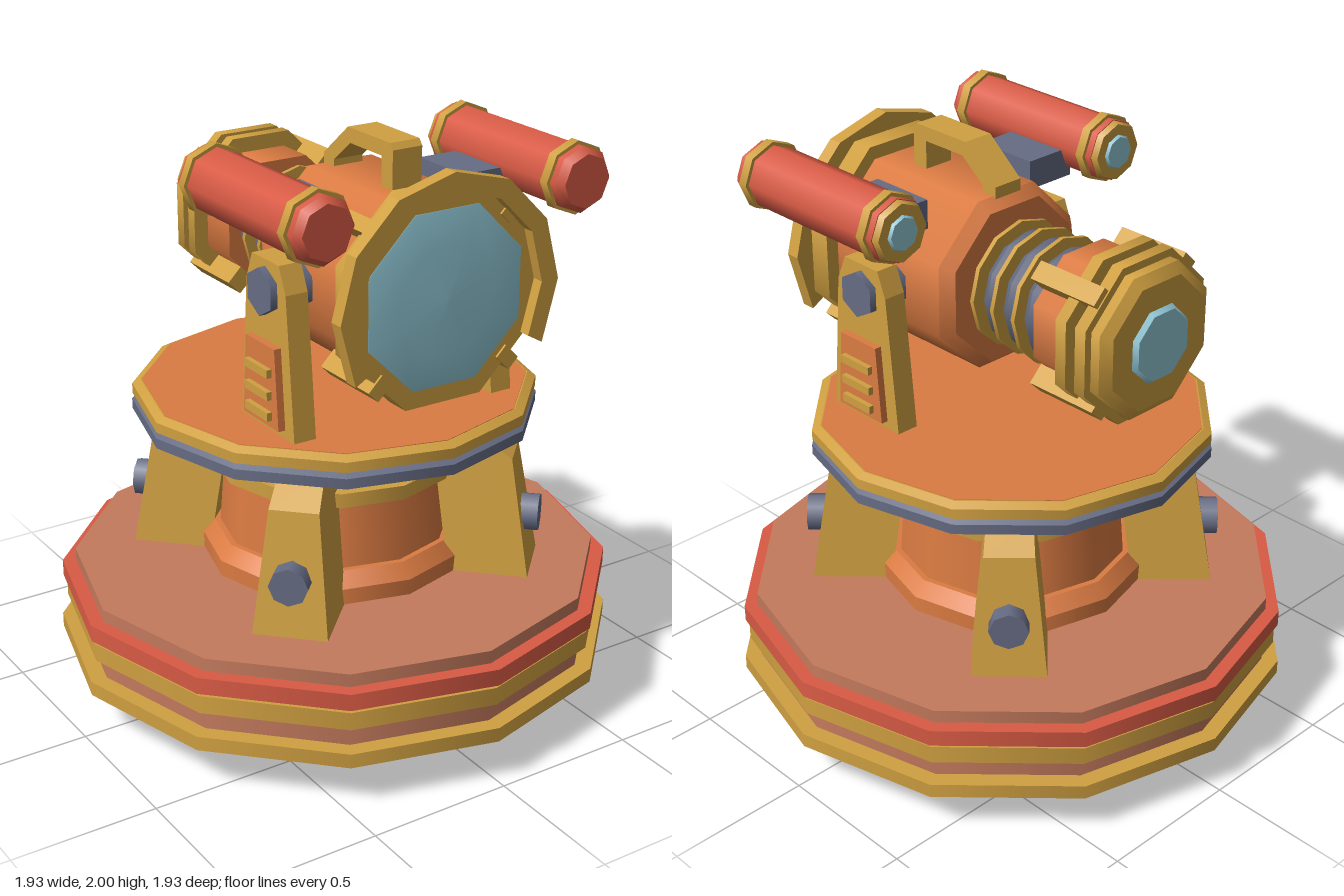
import * as THREE from 'three';

const colour = (name, hex) => {
  const m = new THREE.MeshStandardMaterial({ color: hex });
  m.name = name;
  return m;
};

export function createModel() {
  const brown = colour('clay brown', 0xc47a5d);
  const orange = colour('copper orange', 0xdb7b42);
  const gold = colour('brass gold', 0xd0a041);
  const red = colour('signal red', 0xd95b45);
  const grey = colour('slate grey', 0x666c84);
  const blue = colour('lens blue', 0x93cbd9);
  lensSide(blue);

  const root = new THREE.Group();
  root.name = 'telescopeTurret';
  const group = (name, parent = root) => {
    const g = new THREE.Group();
    g.name = name;
    parent.add(g);
    return g;
  };
  const add = (parent, name, geo, mat, x = 0, y = 0, z = 0) => {
    const m = new THREE.Mesh(geo, mat);
    m.name = name;
    m.position.set(x, y, z);
    parent.add(m);
    return m;
  };
  // Upright twelve-sided drum from y0 to y1
  const drum = (parent, name, mat, y0, y1, r0, r1 = r0) =>
    add(parent, name, new THREE.CylinderGeometry(r1, r0, y1 - y0, 12), mat, 0, (y0 + y1) / 2, 0);
  // Drum along z; flat = true puts a flat side on top of an octagon
  const tube = (parent, name, mat, z0, z1, r0, r1 = r0, flat = true, sides = 8) => {
    const g = new THREE.CylinderGeometry(r1, r0, z1 - z0, sides).rotateX(Math.PI / 2);
    if (flat) g.rotateZ(Math.PI / sides);
    return add(parent, name, g, mat, 0, 0, (z0 + z1) / 2);
  };
  const box = (parent, name, mat, w, h, d, x, y, z) =>
    add(parent, name, new THREE.BoxGeometry(w, h, d), mat, x, y, z);
  // Side profile given as [z, y] points, extruded across x from x0 to x0 + w
  const sidePlate = (pts, w, x0) => {
    const shape = new THREE.Shape(pts.map(([z, y]) => new THREE.Vector2(-z, y)));
    return new THREE.ExtrudeGeometry(shape, { depth: w, bevelEnabled: false })
      .rotateY(Math.PI / 2).translate(x0, 0, 0);
  };

  // Stepped base
  const base = group('base');
  drum(base, 'foot', brown, 0, 0.15, 0.6);
  drum(base, 'baseBody', brown, 0.147, 0.455, 0.91);
  drum(base, 'lowerRim', gold, 0.15, 0.2, 0.967);
  drum(base, 'middleRim', gold, 0.275, 0.337, 0.945);
  drum(base, 'upperRim', red, 0.352, 0.41, 0.957);

  // Column
  const column = group('column');
  drum(column, 'columnFlange', orange, 0.455, 0.51, 0.46);
  drum(column, 'columnStep', orange, 0.51, 0.56, 0.46, 0.42);
  drum(column, 'columnShaft', orange, 0.56, 0.95, 0.4, 0.37);
  drum(column, 'columnBand', gold, 0.79, 0.84, 0.42);
  drum(column, 'columnCollar', grey, 0.945, 0.97, 0.36);

  // Four tapered legs with bolts, on the diagonals
  const legGeo = taperedLeg([
    [0.455, 0.42, 0.695, 0.125], [0.87, 0.36, 0.625, 0.083], [0.958, 0.34, 0.5, 0.075]]);
  for (let i = 0; i < 4; i++) {
    const leg = group('leg');
    leg.rotation.y = Math.PI / 4 + i * Math.PI / 2;
    add(leg, 'legBrace', legGeo, gold);
    add(leg, 'legBolt', new THREE.CylinderGeometry(0.066, 0.066, 0.09, 8).rotateX(Math.PI / 2), grey, 0, 0.645, 0.67);
  }

  // Turntable
  const table = group('turntable');
  drum(table, 'tableUnderside', grey, 0.967, 0.985, 0.64, 0.69);
  drum(table, 'tableEdge', grey, 0.985, 1.02, 0.69);
  drum(table, 'tableShoulder', grey, 1.02, 1.04, 0.69, 0.655);
  drum(table, 'tableRim', gold, 1.04, 1.075, 0.688);
  drum(table, 'tableBevel', gold, 1.075, 1.09, 0.688, 0.66);
  drum(table, 'tableTop', orange, 1.085, 1.092, 0.655);

  // Yoke arms with pivot and vent panel
  for (const s of [1, -1]) {
    const yoke = group('yokeArm');
    if (s < 0) yoke.rotation.y = Math.PI;
    const f = (pts) => pts.map(([z, y]) => [s * z, y]);
    add(yoke, 'armPlate', sidePlate(f([[0.422, 1.09], [0.1, 1.09], [0.145, 1.57], [0.18, 1.657], [0.34, 1.657], [0.378, 1.57]]), 0.08, 0.345), gold);
    add(yoke, 'ventPanel', sidePlate(f([[0.368, 1.12], [0.155, 1.12], [0.175, 1.39], [0.347, 1.39]]), 0.03, 0.42), orange);
    for (const y of [1.16, 1.23, 1.305]) box(yoke, 'ventSlat', gold, 0.02, 0.028, 0.135, 0.458, y, s * 0.262);
    add(yoke, 'pivot', new THREE.CylinderGeometry(0.08, 0.08, 0.2, 6).rotateZ(Math.PI / 2).rotateX(Math.PI / 2),
      grey, 0.35, 1.555, s * 0.26);
  }

  // Telescope, centred on its own axis
  const scope = group('telescope');
  scope.position.y = 1.555;
  tube(scope, 'barrel', orange, 0.03, 0.55, 0.322);
  tube(scope, 'barrelShoulder', orange, -0.012, 0.03, 0.285, 0.322);
  tube(scope, 'lensRing', gold, 0.533, 0.622, 0.372);
  const dome = (r, h) => new THREE.LatheGeometry(
    [[r, 0], [r, h * 0.4], [r * 0.6, h * 0.8], [0, h]].map(([x, y]) => new THREE.Vector2(x, y)), 8)
    .rotateX(Math.PI / 2).rotateZ(Math.PI / 8);
  add(scope, 'frontLens', dome(0.308, 0.025), blue, 0, 0, 0.617);

  // Hood: ring open over the lower third
  const ring = (r) => Array.from({ length: 9 }, (_, i) => {
    const a = (-30 + i * 30) * Math.PI / 180;
    return new THREE.Vector2(r * Math.cos(a), r * Math.sin(a));
  });
  const hood = new THREE.Shape([...ring(0.41), ...ring(0.345).reverse()]);
  add(scope, 'hood', new THREE.ExtrudeGeometry(hood, { depth: 0.05, bevelEnabled: false }), gold, 0, 0, 0.612);

  // Diagonal rails on the barrel and the rear housing
  for (let i = 0; i < 4; i++) {
    const rails = group('rails', scope);
    rails.rotation.z = Math.PI / 4 + i * Math.PI / 2;
    box(rails, 'barrelRail', gold, 0.07, 0.05, 0.27, 0.345, 0, 0.495);
    box(rails, 'housingRail', gold, 0.07, 0.065, 0.27, 0.255, 0, -0.45);
  }

  // Carrying handle
  const handle = sidePlate([[0.41, 0.27], [0.41, 0.425], [0.395, 0.445], [0.16, 0.445], [0.02, 0.33], [0.02, 0.27],
    [0.08, 0.27], [0.08, 0.32], [0.175, 0.395], [0.35, 0.395], [0.35, 0.27]], 0.11, -0.055);
  add(scope, 'handle', handle, gold);

  // Ribbed neck
  tube(scope, 'neck', grey, -0.33, 0, 0.165, 0.165, false, 12);
  [-0.085, -0.175, -0.27].forEach((z) => {
    tube(scope, 'neckRib', grey, z - 0.03, z, 0.18, 0.2, false, 12);
    tube(scope, 'neckRib', grey, z, z + 0.03, 0.2, 0.18, false, 12);
  });
  [-0.038, -0.13, -0.225].forEach((z) => tube(scope, 'neckWasher', gold, z - 0.008, z + 0.008, 0.218, 0.218, false, 12));

  // Rear housing and eyepiece
  tube(scope, 'rearHousing', orange, -0.59, -0.32, 0.236);
  tube(scope, 'innerBand', gold, -0.51, -0.467, 0.292);
  tube(scope, 'outerBand', gold, -0.59, -0.547, 0.29);
  tube(scope, 'rearCap', gold, -0.625, -0.59, 0.262);
  tube(scope, 'rearCapBevel', gold, -0.65, -0.625, 0.225, 0.262);
  tube(scope, 'rearLens', blue, -0.667, -0.645, 0.12, 0.135);

  // Twin finder scopes on side brackets
  for (const s of [1, -1]) {
    const finder = group('finderScope');
    finder.position.set(s * 0.478, 1.868, 0);
    tube(finder, 'finderTube', red, 0.01, 0.675, 0.108, 0.108, false);
    tube(finder, 'finderNose', red, 0.675, 0.7, 0.108, 0.088, false);
    tube(finder, 'frontBand', gold, 0.615, 0.65, 0.12, 0.12, false);
    tube(finder, 'rearBand', gold, 0.035, 0.068, 0.12, 0.12, false);
    tube(finder, 'finderCap', gold, -0.012, 0.02, 0.098, 0.108, false);
    tube(finder, 'finderLens', blue, -0.022, -0.01, 0.055, 0.062, false);
    box(root, 'finderBracket', grey, 0.19, 0.1, 0.24, s * 0.325, 1.805, 0.272);
  }
  return root;
}

// Lens domes are open at the back
function lensSide(m) {
  m.side = THREE.DoubleSide;
}

// Leg from rectangular sections [y, inner z, outer z, half width]
function taperedLeg(sections) {
  const pos = [], idx = [];
  for (const [y, a, b, w] of sections) pos.push(-w, y, b, w, y, b, w, y, a, -w, y, a);
  for (let k = 0; k < sections.length - 1; k++) {
    for (let i = 0; i < 4; i++) {
      const p = k * 4 + i, q = k * 4 + (i + 1) % 4;
      idx.push(p, q, q + 4, p, q + 4, p + 4);
    }
  }
  const t = (sections.length - 1) * 4;
  idx.push(t, t + 1, t + 2, t, t + 2, t + 3, 0, 2, 1, 0, 3, 2);
  const g = new THREE.BufferGeometry();
  g.setAttribute('position', new THREE.Float32BufferAttribute(pos, 3));
  g.setIndex(idx);
  const flat = g.toNonIndexed();
  flat.computeVertexNormals();
  return flat;
}
